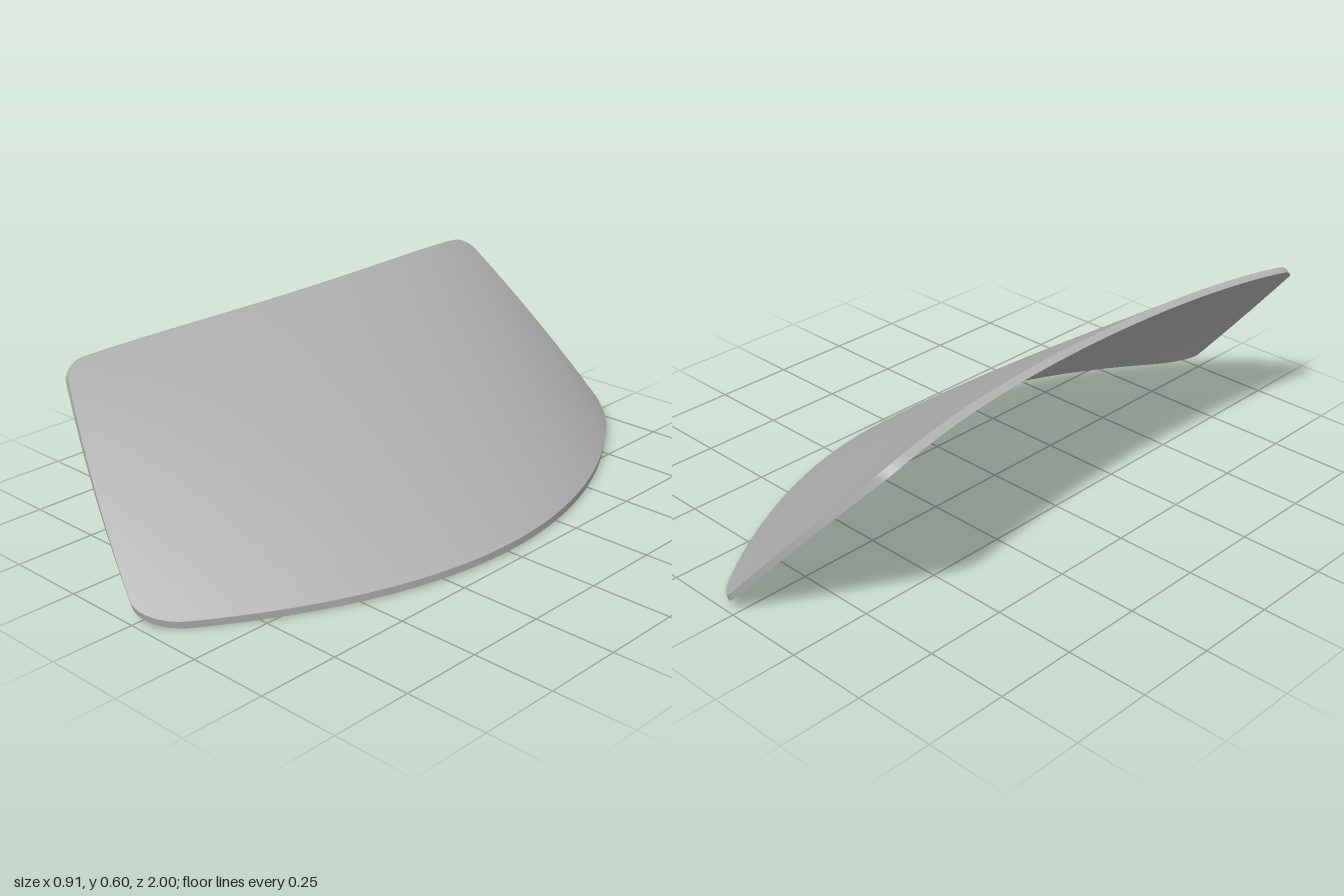
import * as THREE from 'three';

const glass = new THREE.MeshStandardMaterial({ color: 0xb2b2b2 });
glass.name = 'plain grey';

// Rounded corner: how far the edge pulls in as |u| goes from start to 1
const corner = (u, start, depth) => {
  const a = Math.min(1, Math.max(0, (Math.abs(u) - start) / (1 - start)));
  return depth * (1 - Math.sqrt(1 - a * a));
};
const low = (u) => corner(u, 0.9, 0.09);
const high = (u) => 1 - corner(u, 0.92, 0.07);

// Curved panel: u runs across (-1..1), t from lower to upper edge, d through the thickness (0 outer, 1 inner)
function panelPoint(u, t, d) {
  const q = u * u;
  const bulge = 4 * t * (1 - t) * 0.012 * (1 - q);
  const width = 1.01 - 0.11 * t - 0.07 * t * t;
  const x = THREE.MathUtils.lerp(0.455 - 0.41 * q, -0.37 - 0.075 * q, t) + 0.57 * bulge;
  const y = THREE.MathUtils.lerp(0.028 - 0.006 * q, 0.6 - 0.012 * q - 0.018 * q * q, t) + 0.82 * bulge;
  return [x - 0.024 * t * d, y - (0.022 - 0.014 * t) * d, u * width - 0.006 * u * d];
}

// Grid surface from a function of two parameters in 0..1
function sheet(name, f, na, nb) {
  const positions = [], index = [];
  for (let i = 0; i <= na; i++) {
    for (let j = 0; j <= nb; j++) {
      positions.push(...f(i / na, j / nb));
      if (i < na && j < nb) {
        const p = i * (nb + 1) + j, r = p + nb + 1;
        index.push(p, r, p + 1, r, r + 1, p + 1);
      }
    }
  }
  const geometry = new THREE.BufferGeometry();
  geometry.setAttribute('position', new THREE.Float32BufferAttribute(positions, 3));
  geometry.setIndex(index);
  geometry.computeVertexNormals();
  const mesh = new THREE.Mesh(geometry, glass);
  mesh.name = name;
  return mesh;
}

// Samples crowd towards the ends so the corners stay round
const across = (s) => Math.sin((s - 0.5) * Math.PI);
const face = (s, v, d) => {
  const u = across(s);
  return panelPoint(u, THREE.MathUtils.lerp(low(u), high(u), v), d);
};

// Rim path: lower edge, left side, upper edge, right side
function rim(a, d) {
  const side = Math.min(3, Math.floor(a * 4 + 1e-9));
  const k = a * 4 - side;
  return [() => face(k, 0, d), () => face(1, k, d), () => face(1 - k, 1, d), () => face(0, 1 - k, d)][side]();
}

export function createModel() {
  const group = new THREE.Group();
  group.name = 'windshield';
  group.add(
    sheet('outerFace', (v, s) => face(s, v, 0), 24, 64),
    sheet('innerFace', (s, v) => face(s, v, 1), 64, 24),
    sheet('rim', rim, 256, 1),
  );
  return group;
}
